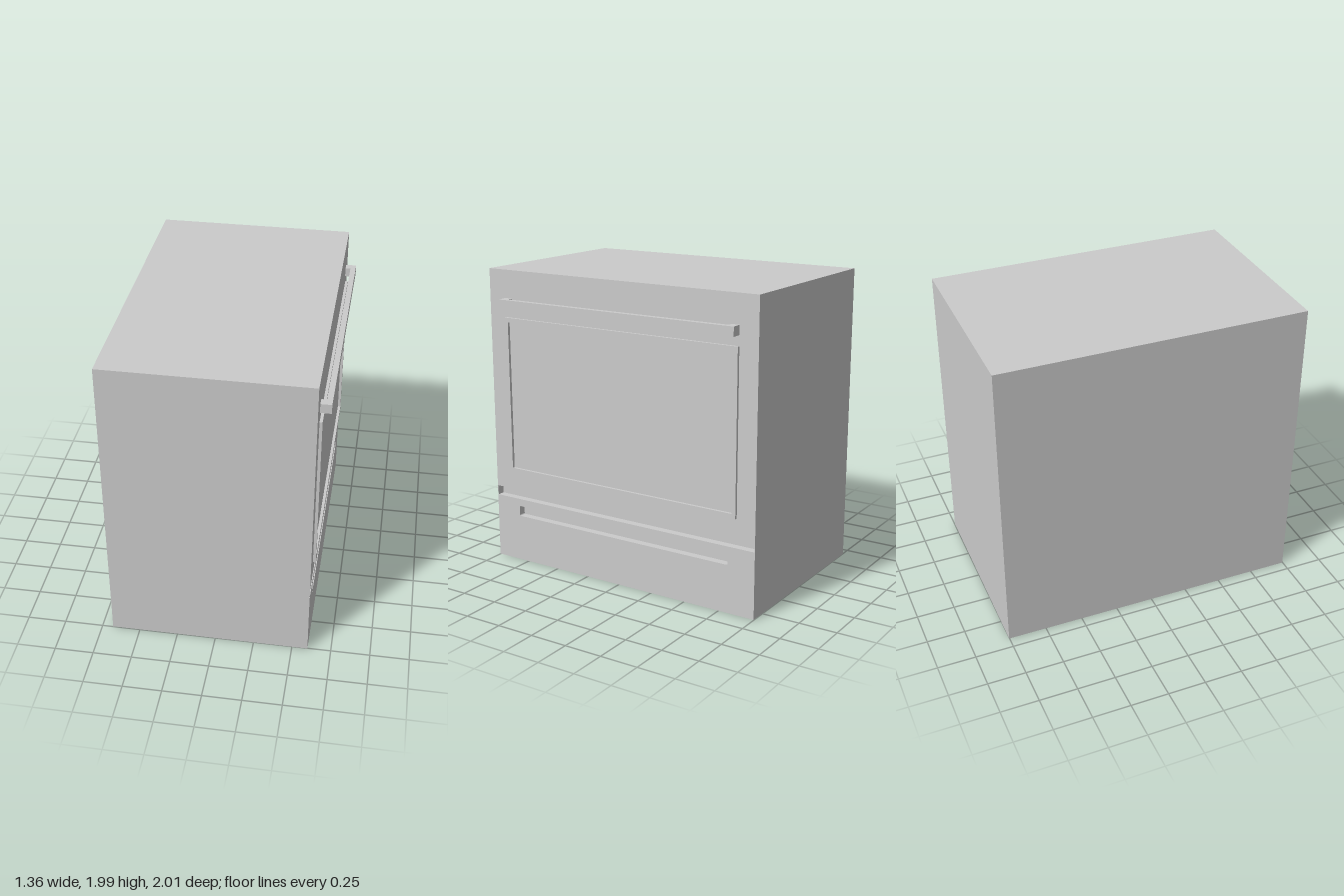
import * as THREE from 'three';

const W = 2, H = 1.985;                 // width along z, height
const BACK = -0.676, INNER = 0.554, FACE = 0.604;

export function createModel() {
  const model = new THREE.Group();
  model.name = 'wallOven';
  const material = new THREE.MeshStandardMaterial({ color: 0xcccccc });

  function add(name, geometry) {
    const mesh = new THREE.Mesh(geometry, material);
    mesh.name = name;
    model.add(mesh);
    return mesh;
  }

  // Box given by its limits on each axis
  function box(name, x0, x1, y0, y1, z0, z1) {
    add(name, new THREE.BoxGeometry(x1 - x0, y1 - y0, z1 - z0))
      .position.set((x0 + x1) / 2, (y0 + y1) / 2, (z0 + z1) / 2);
  }

  // Rectangle centred on u = 0, with optionally rounded corners
  function rect(Type, halfWidth, y0, y1, r = 0) {
    const p = new Type(), w = halfWidth;
    if (!r) {
      p.moveTo(-w, y0).lineTo(w, y0).lineTo(w, y1).lineTo(-w, y1).closePath();
      return p;
    }
    p.absarc(w - r, y0 + r, r, -Math.PI / 2, 0);
    p.absarc(w - r, y1 - r, r, 0, Math.PI / 2);
    p.absarc(-w + r, y1 - r, r, Math.PI / 2, Math.PI);
    p.absarc(-w + r, y0 + r, r, Math.PI, Math.PI * 1.5);
    p.closePath();
    return p;
  }

  // Panel with an opening, extruded towards the front (+x)
  function panel(name, outline, hole, x0, x1) {
    outline.holes.push(hole);
    const g = new THREE.ExtrudeGeometry(outline, { depth: x1 - x0, bevelEnabled: false, curveSegments: 4 });
    g.rotateY(Math.PI / 2);
    add(name, g).position.x = x0;
  }

  // Cabinet and door
  box('cabinet', BACK, INNER, 0, H, -W / 2, W / 2);
  box('door', INNER, FACE, 0.5, H, -W / 2, W / 2);

  // Drawer front with recessed finger pull
  panel('drawerFront', rect(THREE.Shape, W / 2, 0, 0.435),
    rect(THREE.Path, 0.813, 0.315, 0.385, 0.01), INNER, FACE);

  // Raised window frame around the glass
  panel('windowFrame', rect(THREE.Shape, 0.872, 0.625, 1.675),
    rect(THREE.Path, 0.845, 0.655, 1.645), FACE, 0.622);

  // Door handle bar
  box('handleBar', 0.637, 0.672, 1.74, 1.8, -0.872, 0.872);

  // Handle posts, and thin panels closing the groove ends
  for (const s of [-1, 1]) {
    const side = s > 0 ? 'left' : 'right';
    const span = (a, b) => [Math.min(s * a, s * b), Math.max(s * a, s * b)];
    box(side === 'left' ? 'handlePostLeft' : 'handlePostRight', FACE, 0.637, 1.74, 1.8, ...span(0.82, 0.872));
    box(side === 'left' ? 'grooveEndLeft' : 'grooveEndRight', INNER, FACE, 0.435, 0.5, ...span(0.996, 1));
  }

  // Very slight turn about the vertical axis
  model.rotation.y = -0.004;
  return model;
}
